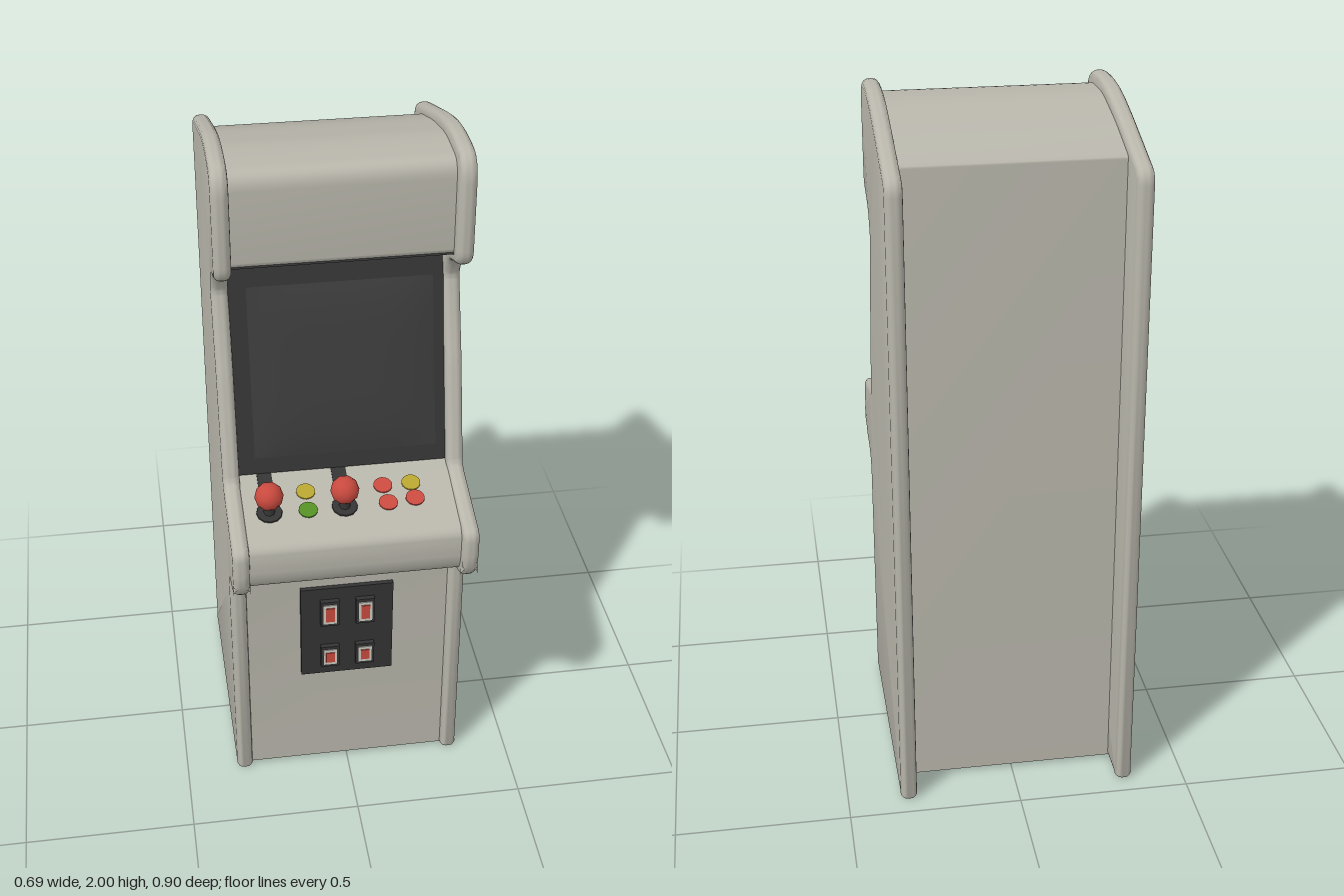
import * as THREE from 'three';
import { toCreasedNormals } from 'three/addons/utils/BufferGeometryUtils.js';

const material = (name, color) => new THREE.MeshStandardMaterial({ name, color });

// Closed shape from [z, y, cornerRadius] points
function roundedShape(points) {
  const shape = new THREE.Shape();
  const n = points.length;
  points.forEach(([x, y, r], i) => {
    const p = new THREE.Vector2(x, y);
    const toward = (q) => {
      const d = new THREE.Vector2(q[0], q[1]).sub(p);
      return p.clone().addScaledVector(d.normalize(), r);
    };
    const a = toward(points[(i + n - 1) % n]);
    const b = toward(points[(i + 1) % n]);
    if (i === 0) shape.moveTo(a.x, a.y);
    else shape.lineTo(a.x, a.y);
    if (r > 0) shape.quadraticCurveTo(p.x, p.y, b.x, b.y);
  });
  shape.closePath();
  return shape;
}

// Extrude a side profile across x, centred on x = 0
function extrudeProfile(points, width, bevel) {
  const geo = new THREE.ExtrudeGeometry(roundedShape(points), {
    depth: width - 2 * bevel, curveSegments: 6,
    bevelEnabled: bevel > 0, bevelThickness: bevel, bevelSize: bevel, bevelOffset: -bevel, bevelSegments: 4,
  });
  geo.translate(0, 0, -(width - 2 * bevel) / 2);
  geo.rotateY(-Math.PI / 2);
  return toCreasedNormals(geo, 0.7);
}

const SIDE_PROFILE = [
  [-0.445, 0, 0.01], [0.288, 0, 0.01], [0.288, 0.765, 0.05], [0.425, 0.795, 0.05],
  [0.452, 0.87, 0.03], [0.452, 0.97, 0.03], [0.205, 1.035, 0.02], [0.127, 1.34, 0.03],
  [0.05, 1.57, 0.02], [0.085, 1.635, 0.03], [0.207, 1.68, 0.04], [0.207, 1.995, 0.08],
  [0, 2.005, 0.1], [-0.17, 1.96, 0.05], [-0.445, 1.875, 0.04],
];
const BODY_PROFILE = [
  [-0.33, 0.008, 0], [0.268, 0.008, 0], [0.268, 0.795, 0.03], [0.4, 0.81, 0.03],
  [0.425, 0.86, 0.03], [0.425, 0.96, 0.03], [0.165, 1.035, 0], [0.02, 1.625, 0],
  [0.165, 1.7, 0.01], [0.165, 1.965, 0.05], [0, 1.972, 0.05], [-0.17, 1.935, 0.04], [-0.33, 1.885, 0.01],
];

export function createModel() {
  const model = new THREE.Group();
  model.name = 'arcadeCabinet';
  const cabinet = material('cabinetGrey', 0xb8b6ab);
  const dark = material('charcoal', 0x343434);
  const glassMat = material('screenGlass', 0x3b3b3b);
  const red = material('red', 0xca4a3f);
  const yellow = material('yellow', 0xb8a531);
  const green = material('green', 0x559024);
  const pale = material('slotFrame', 0xcfcbc2);

  function add(name, geo, mat, x = 0, y = 0, z = 0, parent = model) {
    const mesh = new THREE.Mesh(geo, mat);
    mesh.name = name;
    mesh.position.set(x, y, z);
    parent.add(mesh);
    return mesh;
  }

  // Cabinet body and its two rounded side panels
  add('body', extrudeProfile(BODY_PROFILE, 0.62, 0), cabinet);
  const sideGeo = extrudeProfile(SIDE_PROFILE, 0.048, 0.019);
  add('leftSidePanel', sideGeo, cabinet, 0.322);
  add('rightSidePanel', sideGeo, cabinet, -0.322);

  // Sloped screen surround with a bulged glass
  const screen = new THREE.Group();
  screen.name = 'screen';
  screen.position.set(0, 1.33, 0.0925);
  screen.rotation.x = -Math.atan2(0.145, 0.59);
  model.add(screen);
  add('screenSurround', new THREE.BoxGeometry(0.6, 0.605, 0.008), dark, 0, 0, 0.002, screen);
  const glass = new THREE.PlaneGeometry(0.52, 0.5, 20, 20);
  const pos = glass.attributes.position;
  for (let i = 0; i < pos.count; i++) {
    const u = pos.getX(i) / 0.26, v = pos.getY(i) / 0.25;
    pos.setZ(i, 0.016 * (1 - u ** 4) * (1 - v ** 4));
  }
  glass.computeVertexNormals();
  add('screenGlass', glass, glassMat, 0.01, -0.005, 0.007, screen);

  // Dark underside of the marquee
  const underside = add('marqueeUnderside', new THREE.BoxGeometry(0.6, 0.006, 0.158), dark, 0, 1.661, 0.0925);
  underside.rotation.x = -Math.atan2(0.075, 0.145);

  // Control panel: parts sit on the slope
  const slope = 0.075 / 0.26;
  const panelY = (z) => 1.035 - (z - 0.165) * slope;
  function onPanel(name, geo, mat, x, z) {
    const mesh = add(name, geo, mat, x, panelY(z), z);
    mesh.rotation.x = Math.atan(slope);
    return mesh;
  }

  // Two joysticks
  const ballGeo = new THREE.IcosahedronGeometry(0.041, 1);
  const stemGeo = new THREE.CylinderGeometry(0.011, 0.018, 0.06, 8);
  const baseGeo = new THREE.CylinderGeometry(0.036, 0.038, 0.008, 12);
  const patchGeo = new THREE.BoxGeometry(0.042, 0.006, 0.05);
  for (const x of [-0.227, -0.014]) {
    onPanel('joystickBase', baseGeo, dark, x, 0.302);
    onPanel('joystickPatch', patchGeo, dark, x, 0.192);
    add('joystickStem', stemGeo, dark, x, 1.015, 0.302);
    add('joystickBall', ballGeo, red, x, 1.052, 0.302);
  }

  // Flat round buttons
  const buttonGeo = new THREE.CylinderGeometry(0.027, 0.027, 0.008, 16);
  const buttons = [
    [-0.117, 0.242, yellow], [-0.118, 0.305, green], [0.104, 0.243, red],
    [0.11, 0.303, red], [0.188, 0.295, red], [0.185, 0.242, yellow],
  ];
  for (const [x, z, mat] of buttons) onPanel('button', buttonGeo, mat, x, z);

  // Coin door with four framed slots
  add('coinDoor', new THREE.BoxGeometry(0.275, 0.325, 0.022), dark, -0.003, 0.523, 0.271);
  for (const x of [-0.055, 0.05]) {
    for (const [y, h] of [[0.6, 0.07], [0.435, 0.056]]) {
      add('slotHousing', new THREE.BoxGeometry(0.056, h + 0.02, 0.018), dark, x, y, 0.288);
      add('slotFrame', new THREE.BoxGeometry(0.04, h, 0.004), pale, x, y, 0.298);
      add('slotButton', new THREE.BoxGeometry(0.026, h - 0.02, 0.004), red, x, y, 0.301);
    }
  }
  return model;
}
